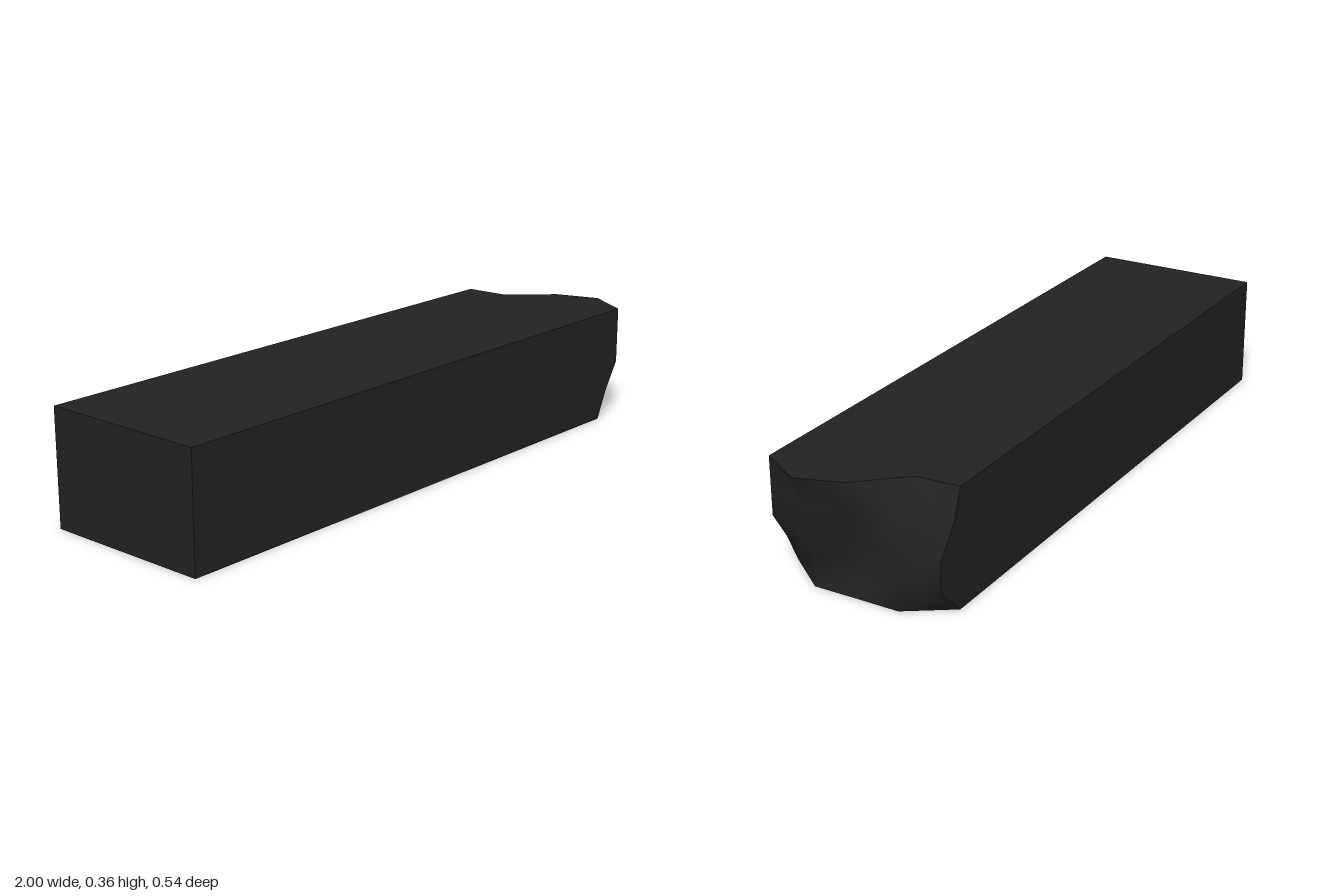
import * as THREE from 'three';

const HALF_DEPTH = 0.271, HEIGHT = 0.357, N = 4;

// Reach (x) of the broken end: rows run bottom to top, columns front to back
const REACH = [
  [0.824, 0.927, 0.926, 0.926, 0.835],
  [0.865, 0.945, 0.866, 0.935, 0.926],
  [0.921, 0.975, 0.91, 0.945, 0.926],
  [0.921, 0.965, 0.92, 0.932, 0.857],
  [0.921, 1.0, 0.956, 0.833, 0.823],
];

const endPoint = (i, j) => [REACH[i][j], HEIGHT * i / N, HALF_DEPTH * (1 - 2 * j / N)];

function makeGeometry(positions, index) {
  const g = new THREE.BufferGeometry();
  g.setAttribute('position', new THREE.Float32BufferAttribute(positions.flat(), 3));
  if (index) g.setIndex(index);
  g.computeVertexNormals();
  return g;
}

// Flat long sides and square end, following the outline of the broken end
function beamGeometry() {
  const rim = [];
  for (let k = 0; k < N; k++) rim.push(endPoint(0, k));
  for (let k = 0; k < N; k++) rim.push(endPoint(k, N));
  for (let k = N; k > 0; k--) rim.push(endPoint(N, k));
  for (let k = N; k > 0; k--) rim.push(endPoint(k, 0));
  const far = ([, y, z]) => [-1, y, z];
  const centre = [-1, HEIGHT / 2, 0];
  const tris = [];
  rim.forEach((a, k) => {
    const b = rim[(k + 1) % rim.length];
    tris.push(a, far(a), far(b), a, far(b), b);
    tris.push(centre, far(b), far(a));
  });
  return makeGeometry(tris);
}

// Smooth-shaded uneven break
function brokenEndGeometry() {
  const points = [], index = [];
  for (let i = 0; i <= N; i++) for (let j = 0; j <= N; j++) points.push(endPoint(i, j));
  for (let i = 0; i < N; i++) {
    for (let j = 0; j < N; j++) {
      const a = i * (N + 1) + j, b = a + 1, d = a + N + 1, c = d + 1;
      if (i < N - 1) index.push(a, b, c, a, c, d);
      else index.push(a, b, d, b, c, d);
    }
  }
  return makeGeometry(points, index);
}

export function createModel() {
  const charcoal = new THREE.MeshStandardMaterial({ color: 0x222222 });
  charcoal.name = 'charcoal';

  const model = new THREE.Group();
  model.name = 'brokenBeam';
  const add = (name, geometry) => {
    const mesh = new THREE.Mesh(geometry, charcoal);
    mesh.name = name;
    model.add(mesh);
  };
  add('beam', beamGeometry());
  add('brokenEnd', brokenEndGeometry());
  return model;
}
